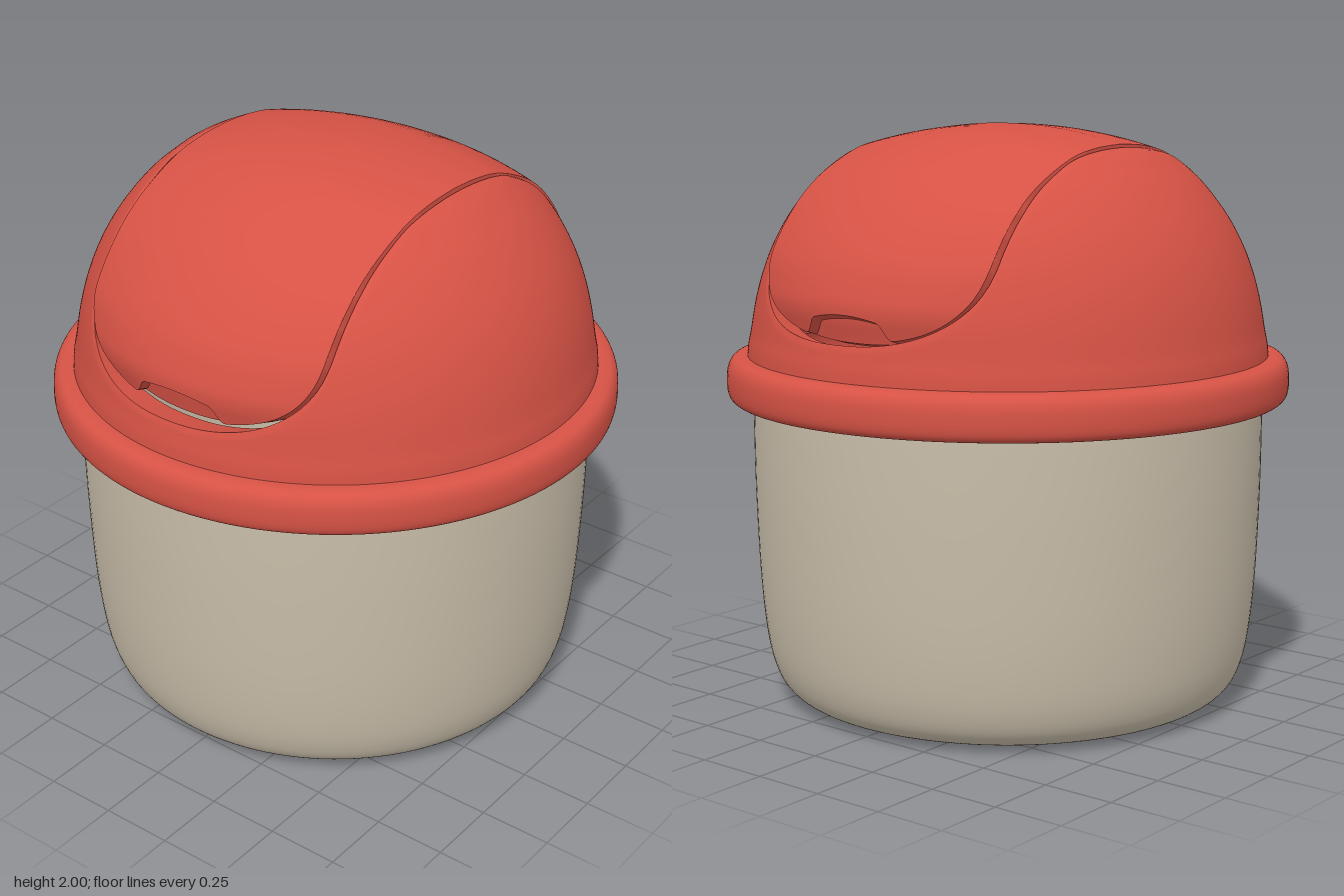
import * as THREE from 'three';
import { toCreasedNormals } from 'three/addons/utils/BufferGeometryUtils.js';

const red = new THREE.MeshStandardMaterial({ color: 0xd65245, side: THREE.DoubleSide });
red.name = 'lid red';
const beige = new THREE.MeshStandardMaterial({ color: 0xc8bda9, side: THREE.DoubleSide });
beige.name = 'bin beige';

const curve2 = (pts) => new THREE.SplineCurve(pts.map(([x, y]) => new THREE.Vector2(x, y)));

// Surface over an nu x nv grid; the outside is where du x dv points
function grid(nu, nv, f, crease) {
  const pos = [], index = [];
  for (let i = 0; i <= nu; i++) for (let j = 0; j <= nv; j++) pos.push(...f(i, j));
  for (let i = 0; i < nu; i++) for (let j = 0; j < nv; j++) {
    const a = i * (nv + 1) + j, b = a + nv + 1;
    index.push(a, b, b + 1, a, b + 1, a + 1);
  }
  const g = new THREE.BufferGeometry();
  g.setAttribute('position', new THREE.Float32BufferAttribute(pos, 3));
  g.setIndex(index);
  return toCreasedNormals(g, crease);
}

// Root of a function that goes from positive at 0 to negative at 1
function solve(f) {
  let lo = 0, hi = 1;
  for (let k = 0; k < 40; k++) {
    const m = (lo + hi) / 2;
    if (f(m) > 0) lo = m; else hi = m;
  }
  return lo;
}

// U-shaped opening: half-width at a height, and lower edge at a depth
const LOW = 1.33, TALL = 0.29, HALF = 0.48, POW = 2.5;
function openingWidth(y) {
  const k = (y - LOW) / TALL;
  if (k < 0) return y - LOW;
  return k >= 1 ? HALF : HALF * Math.pow(1 - Math.pow(1 - k, POW), 1 / POW);
}
const openingBottom = (z, half) =>
  LOW + TALL * (1 - Math.pow(Math.max(0, 1 - Math.pow(Math.abs(z) / half, POW)), 1 / POW));

// Shrinks a point towards the lid axis that runs along z
const sink = ([x, y, z], s) => [x * s, 1.1 + (y - 1.1) * s, z];

// Dome: surface of revolution that stops at the opening and turns inwards
function domeGeometry() {
  const profile = curve2([[0.905, 1.2], [0.9, 1.25], [0.89, 1.3], [0.872, 1.4], [0.845, 1.5], [0.805, 1.6],
    [0.748, 1.7], [0.67, 1.8], [0.6, 1.865], [0.53, 1.915], [0.4, 1.965]]);
  const SEG = 240, ROWS = 36;
  const ends = [];
  for (let i = 0; i <= SEG; i++) {
    const c = Math.abs(Math.cos(i / SEG * Math.PI * 2));
    ends.push(solve((t) => {
      const p = profile.getPoint(t);
      return p.x * c - openingWidth(p.y);
    }));
  }
  return grid(SEG, ROWS + 3, (i, j) => {
    const a = i / SEG * Math.PI * 2;
    const end = ends[i];
    const t = j < ROWS ? (end - 0.022) * j / (ROWS - 1) : end;
    const p = profile.getPoint(t);
    const q = [p.x * Math.sin(a), p.y, p.x * Math.cos(a)];
    return sink(q, j < ROWS ? 1 : [0.994, 0.975, 0.935, 0.88][j - ROWS]);
  }, 0.9);
}

// Swing flap: arched strip with a U-shaped end on each side
const arch = curve2([[0, 2], [0.15, 1.99], [0.3, 1.957], [0.5, 1.865], [0.65, 1.75], [0.78, 1.6],
  [0.835, 1.48], [0.845, 1.42], [0.835, 1.36], [0.82, 1.28]]);

function flapGeometry(half, scale, notched) {
  const NU = 120, NV = 64;
  const at = (t, z) => {
    const p = arch.getPoint(t);
    const high = THREE.MathUtils.clamp((p.y - 1.33) / 0.67, 0, 1);
    const k = (z / 0.86) ** 2 * (1 - 0.5 * high);
    return [p.x * Math.sqrt(1 - k), p.y - 0.06 * high * (z / 0.48) ** 2, z];
  };
  const columns = [];
  for (let i = 0; i <= NU; i++) {
    const z = half * Math.sin((i / NU - 0.5) * Math.PI);
    let low = openingBottom(z, half) + 0.006;
    if (notched) {
      const n = 1 - THREE.MathUtils.smoothstep(Math.abs(z), 0.135, 0.185);
      low = THREE.MathUtils.lerp(low, 1.42 - 0.9 * z * z, n);
    }
    columns.push({ z, end: solve((t) => at(t, z)[1] - low) });
  }
  // The outermost ring of the grid forms the edge of the flap
  return grid(NU + 2, NV + 2, (i, j) => {
    const ci = THREE.MathUtils.clamp(i - 1, 0, NU), cj = THREE.MathUtils.clamp(j - 1, 0, NV);
    const { z, end } = columns[ci];
    const s = cj / NV * 2 - 1;
    const [x, y] = at(end * Math.abs(s), z);
    const rim = ci !== i - 1 || cj !== j - 1;
    return sink([Math.sign(s) * x, y, z], rim ? scale * 0.94 : scale);
  }, 0.8);
}

export function createModel() {
  const model = new THREE.Group();
  model.name = 'swingLidBin';
  const add = (name, geometry, material) => {
    const mesh = new THREE.Mesh(geometry, material);
    mesh.name = name;
    model.add(mesh);
  };
  const lathe = (pts, n) => new THREE.LatheGeometry(curve2(pts).getPoints(n), 128);

  // Tub with a rounded foot and a shallow hollow underneath
  add('tub', lathe([[0, 0.025], [0.35, 0.022], [0.42, 0.008], [0.6, 0], [0.72, 0.015], [0.79, 0.055], [0.83, 0.13],
    [0.855, 0.25], [0.873, 0.45], [0.884, 0.75], [0.886, 1], [0.884, 1.12]], 66), beige);

  // Rolled rim of the lid
  add('lidRim', lathe([[0.87, 1.065], [0.93, 1.058], [0.962, 1.068], [0.975, 1.1], [0.974, 1.16],
    [0.96, 1.195], [0.935, 1.21], [0.9, 1.213], [0.88, 1.213]], 48), red);

  add('lidDome', domeGeometry(), red);
  add('swingFlap', flapGeometry(0.472, 1, true), red);
  // Panel seen behind the finger notches
  add('flapBacking', flapGeometry(0.465, 0.95, false), red);
  return model;
}
